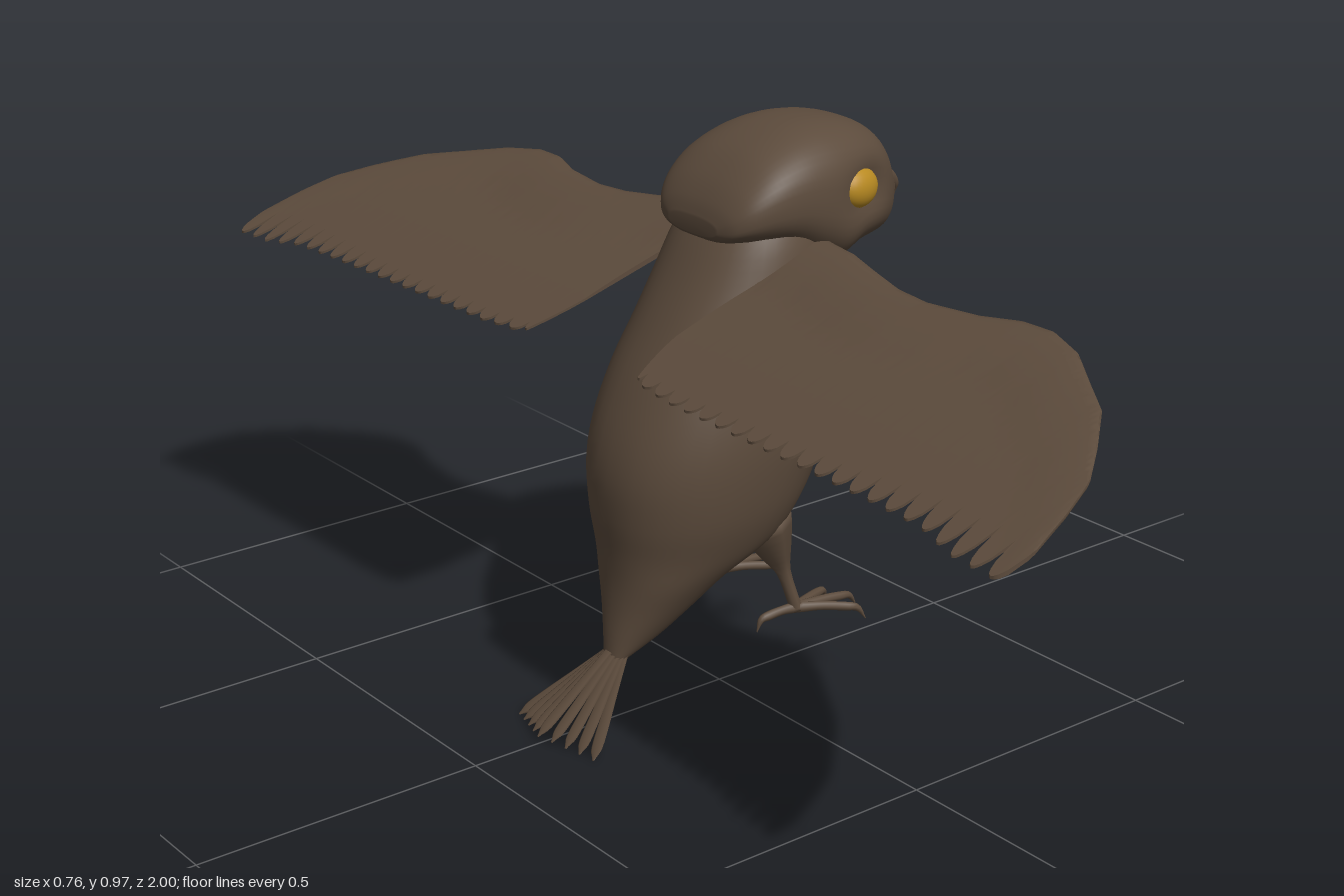
import * as THREE from 'three';
import { toCreasedNormals } from 'three/addons/utils/BufferGeometryUtils.js';

const brown = new THREE.MeshStandardMaterial({ color: 0x5c4b3c });
brown.name = 'brownPlumage';
const amber = new THREE.MeshStandardMaterial({ color: 0xb88a22 });
amber.name = 'amberEye';

// Smooth interpolation through rows of numbers, k from 0 to 1
function spline(rows, k) {
  const f = Math.min(k, 0.999999) * (rows.length - 1), i = Math.floor(f), t = f - i;
  const at = (j) => rows[Math.max(0, Math.min(rows.length - 1, j))];
  return rows[0].map((_, c) => {
    const [a, b, d, e] = [at(i - 1)[c], at(i)[c], at(i + 1)[c], at(i + 2)[c]];
    return b + 0.5 * t * (d - a + t * (2 * a - 5 * b + 4 * d - e + t * (3 * (b - d) + e - a)));
  });
}

// Piecewise linear lookup in [position, value] pairs
function lookup(pairs, p) {
  let i = 0;
  while (i < pairs.length - 2 && p > pairs[i + 1][0]) i++;
  const [[a, b], [c, d]] = [pairs[i], pairs[i + 1]];
  return b + (d - b) * Math.max(0, Math.min(1, (p - a) / (c - a)));
}

// Skin closed rings of points, cap both ends and face the surface outward
function loft(rings) {
  const n = rings[0].length, pos = [], idx = [];
  rings.forEach((r) => r.forEach((p) => pos.push(p.x, p.y, p.z)));
  for (let r = 0; r < rings.length - 1; r++) {
    for (let i = 0; i < n; i++) {
      const a = r * n + i, b = r * n + (i + 1) % n;
      idx.push(a, b, a + n, b, b + n, a + n);
    }
  }
  [0, rings.length - 1].forEach((r, end) => {
    const c = rings[r].reduce((s, p) => s.add(p), new THREE.Vector3()).divideScalar(n);
    const ci = pos.length / 3;
    pos.push(c.x, c.y, c.z);
    for (let i = 0; i < n; i++) {
      const a = r * n + i, b = r * n + (i + 1) % n;
      if (end) idx.push(a, b, ci); else idx.push(b, a, ci);
    }
  });
  const v = (i) => new THREE.Vector3().fromArray(pos, i * 3);
  let volume = 0;
  for (let i = 0; i < idx.length; i += 3) volume += v(idx[i]).dot(v(idx[i + 1]).cross(v(idx[i + 2])));
  if (volume < 0) idx.reverse();
  const g = new THREE.BufferGeometry();
  g.setAttribute('position', new THREE.Float32BufferAttribute(pos, 3));
  g.setIndex(idx);
  g.computeVertexNormals();
  return g;
}

// Points of a rounded-square ring: fn receives the two unit coordinates
function ring(n, power, fn) {
  return Array.from({ length: n }, (_, i) => {
    const a = (i / n) * Math.PI * 2, c = Math.cos(a), s = Math.sin(a);
    return fn(Math.sign(c) * Math.abs(c) ** (2 / power), Math.sign(s) * Math.abs(s) ** (2 / power));
  });
}

// Tapered limb along a curve; flat squeezes it into a blade
function limb(points, radii, flat = 1, steps = 14, sides = 8) {
  const curve = new THREE.CatmullRomCurve3(points.map((p) => new THREE.Vector3(...p)));
  const rings = [];
  for (let i = 0; i <= steps; i++) {
    const k = i / steps, p = curve.getPoint(k), t = curve.getTangent(k);
    const side = new THREE.Vector3(0, 0, 1).addScaledVector(t, -t.z).normalize();
    const up = new THREE.Vector3().crossVectors(t, side);
    const r = Math.max(0.0008, spline(radii.map((q) => [q]), k)[0]);
    rings.push(ring(sides, 2, (c, s) => p.clone().addScaledVector(side, c * r).addScaledVector(up, s * r * flat)));
  }
  return loft(rings);
}

// Torso: rows of y, back x, breast x, half width
function bodyGeometry() {
  const rows = [
    [0.11, -0.236, -0.212, 0.02], [0.15, -0.232, -0.135, 0.045], [0.2, -0.226, -0.07, 0.075],
    [0.25, -0.223, -0.01, 0.105], [0.3, -0.225, 0.085, 0.132], [0.36, -0.231, 0.13, 0.155],
    [0.43, -0.231, 0.163, 0.169], [0.5, -0.215, 0.19, 0.175], [0.58, -0.18, 0.205, 0.171],
    [0.66, -0.135, 0.212, 0.155], [0.73, -0.095, 0.197, 0.141], [0.8, -0.055, 0.17, 0.125], [0.85, -0.02, 0.15, 0.1],
  ];
  const rings = [];
  for (let i = 0; i <= 48; i++) {
    const [y, x0, x1, w] = spline(rows, i / 48);
    rings.push(ring(40, 2.2, (c, s) => new THREE.Vector3((x0 + x1) / 2 + c * (x1 - x0) / 2, y, s * w)));
  }
  return loft(rings);
}

// Head: rows of x, bottom y, top y, half width, with hollows round the eyes
function headGeometry() {
  const rows = [
    [-0.056, 0.812, 0.84, 0.06], [-0.045, 0.803, 0.868, 0.095], [-0.02, 0.798, 0.903, 0.12], [0.02, 0.79, 0.938, 0.135],
    [0.07, 0.775, 0.962, 0.141], [0.12, 0.748, 0.974, 0.142], [0.17, 0.73, 0.975, 0.139], [0.22, 0.748, 0.967, 0.127],
    [0.265, 0.754, 0.95, 0.108], [0.3, 0.756, 0.922, 0.082], [0.325, 0.765, 0.885, 0.058],
    [0.345, 0.782, 0.857, 0.037], [0.365, 0.8, 0.835, 0.016],
  ];
  const rings = [];
  for (let i = 0; i <= 60; i++) {
    const [x, y0, y1, w] = spline(rows, i / 60);
    rings.push(ring(48, 2.5, (c, s) => {
      const y = (y0 + y1) / 2 + s * (y1 - y0) / 2;
      const hollow = 0.022 * Math.exp(-(((x - 0.215) / 0.055) ** 2) - ((y - 0.86) / 0.04) ** 2);
      return new THREE.Vector3(x, y, c * w - Math.sign(c) * hollow * Math.min(1, Math.abs(c) * 2));
    }));
  }
  return loft(rings);
}

// Wing: thick arm along the leading edge thinning to scalloped feathers
function wingGeometry(side) {
  const lead = [[0.12, 0.13], [0.2, 0.12], [0.27, 0.1], [0.35, 0.079], [0.42, 0.073], [0.52, 0.086], [0.59, 0.108], [0.65, 0.11],
    [0.72, 0.085], [0.8, 0.03], [0.86, -0.01], [0.92, -0.08], [0.965, -0.14], [0.985, -0.2], [1, -0.27]];
  const tips = [[0.12, -0.2], [0.15, -0.285], [0.25, -0.295], [0.7, -0.305], [0.82, -0.31], [0.9, -0.33], [1, -0.335]];
  const notch = [[0.12, 0.02], [0.6, 0.032], [0.8, 0.05], [0.92, 0.075], [1, 0.05]];
  const arm = [[0.12, 0.032], [0.3, 0.026], [0.6, 0.02], [0.8, 0.01], [1, 0.002]];
  const feathers = 23, per = 8, N = 16, rings = [];
  for (let i = 0; i <= feathers * per; i++) {
    const z = 0.12 + 0.88 * (i / (feathers * per)), p = (i % per) / per;
    const scallop = Math.sqrt(Math.sin(Math.PI * p));
    const L = lookup(lead, z), T = lookup(tips, z) + lookup(notch, z) * (1 - scallop);
    const top = [], bottom = [];
    for (let j = 0; j <= N; j++) {
      const u = (j / N) ** 1.5, x = L + (T - L) * u, q = Math.min(1, (L - x) / 0.15);
      const y = 0.635 + 0.33 * (x + 0.33) + 0.012 * Math.sin(Math.PI * Math.min(1, Math.max(0, (x + 0.33) / 0.45)));
      const t = 2.6 * Math.sqrt(q) * (1 - q) * lookup(arm, z);
      const skin = j ? 0.002 : 0.0005;
      top.push(new THREE.Vector3(x, y + skin + 0.5 * t, side * z));
      bottom.push(new THREE.Vector3(x, y - skin - 1.2 * t, side * z));
    }
    rings.push([...top, ...bottom.reverse()]);
  }
  return toCreasedNormals(loft(rings), 0.9);
}

export function createModel() {
  const bird = new THREE.Group();
  bird.name = 'bird';
  const add = (name, geometry, material = brown, parent = bird) => {
    const m = new THREE.Mesh(geometry, material);
    m.name = name;
    parent.add(m);
    return m;
  };

  add('body', bodyGeometry());
  add('head', headGeometry());

  // Hooked upper beak and small lower beak
  add('upperBeak', limb([[0.335, 0.84, 0], [0.36, 0.832, 0], [0.376, 0.817, 0], [0.378, 0.8, 0]], [0.026, 0.017, 0.009, 0.001]));
  add('lowerBeak', limb([[0.3, 0.778, 0], [0.325, 0.772, 0], [0.345, 0.772, 0]], [0.025, 0.014, 0.002]));

  for (const s of [1, -1]) {
    const label = s > 0 ? 'left' : 'right';
    add(label + 'Wing', wingGeometry(s));

    const eye = add(label + 'Eye', new THREE.SphereGeometry(1, 28, 18), amber);
    eye.scale.set(0.044, 0.034, 0.026);
    eye.position.set(0.197, 0.867, s * 0.111);
    eye.rotation.set(0, s * 0.25, -0.1);

    const nostril = add(label + 'Nostril', new THREE.TorusGeometry(0.006, 0.003, 6, 12));
    nostril.position.set(0.338, 0.83, s * 0.037);
    nostril.rotation.y = s * 0.8;

    // Leg, three front toes and one back toe, each ending in a claw
    const leg = new THREE.Group();
    leg.name = label + 'Leg';
    bird.add(leg);
    add('shank', limb([[0.03, 0.32, s * 0.078], [0.05, 0.262, s * 0.085], [0.064, 0.22, s * 0.092], [0.08, 0.165, s * 0.1], [0.085, 0.148, s * 0.102]],
      [0.05, 0.03, 0.013, 0.011, 0.012]), brown, leg);
    for (const [dx, dz] of [[0.105, -0.042], [0.13, 0.006], [0.105, 0.06], [-0.074, -0.012]]) {
      const at = (k, y) => [0.083 + dx * k, y, s * (0.102 + dz * k)];
      add('toe', limb([at(0, 0.152), at(0.35, 0.152), at(0.7, 0.148), at(0.88, 0.144), at(1, 0.123)],
        [0.01, 0.008, 0.008, 0.006, 0.001]), brown, leg);
    }
  }

  // Tail fan, tented along the middle
  const tail = new THREE.Group();
  tail.name = 'tail';
  bird.add(tail);
  for (let i = -4; i <= 4; i++) {
    const k = i / 4, tip = [-0.378 + 0.035 * Math.abs(k), 0.016 - 0.012 * Math.abs(k), 0.105 * k];
    const base = [-0.215, 0.14 - 0.02 * Math.abs(k), 0.018 * k];
    const mid = (f) => base.map((b, c) => b + (tip[c] - b) * f);
    add('tailFeather', limb([base, mid(0.35), mid(0.7), mid(0.9), tip], [0.009, 0.01, 0.012, 0.011, 0.002], 0.22), brown, tail);
  }
  return bird;
}
